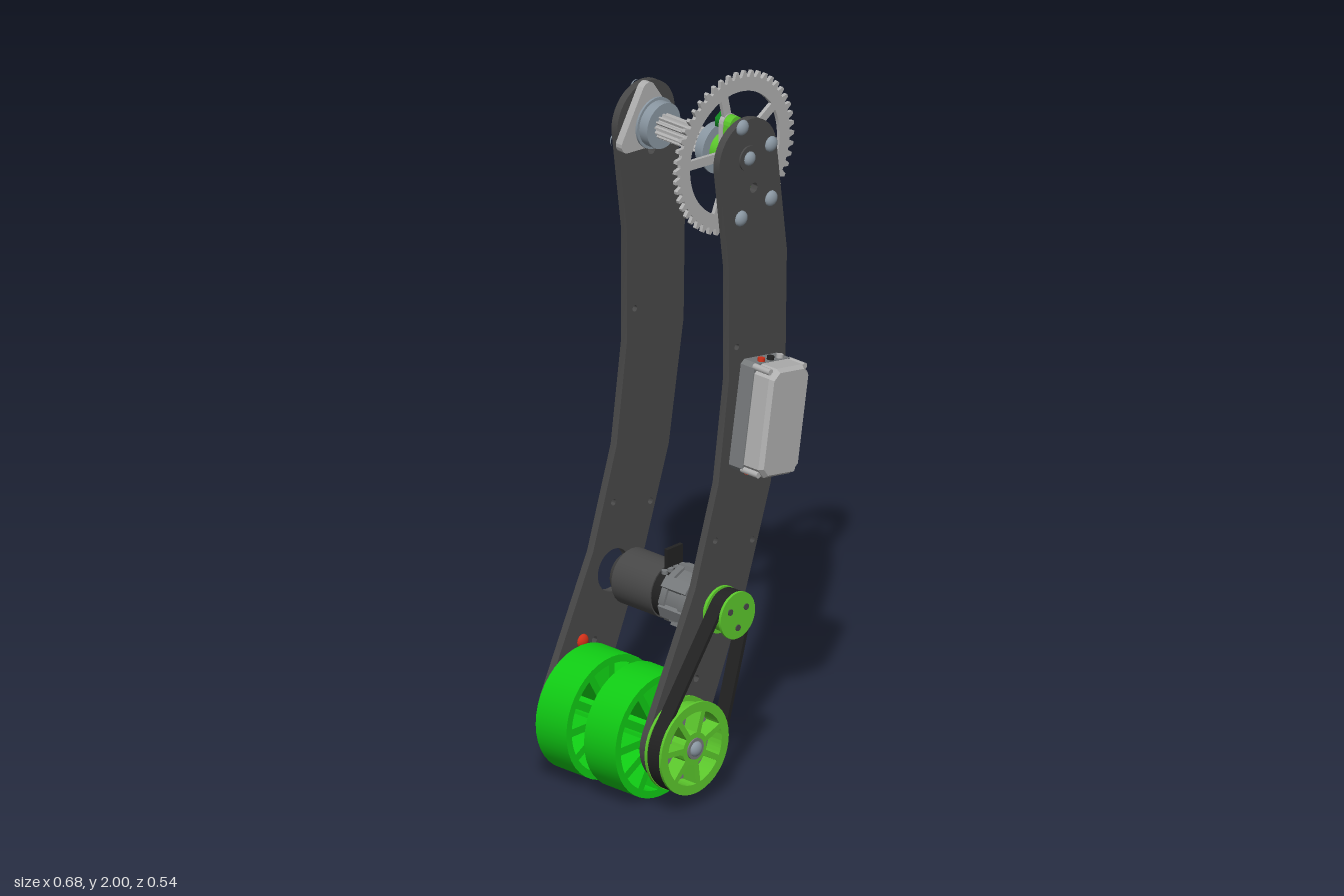
import * as THREE from 'three';
import { toCreasedNormals } from 'three/addons/utils/BufferGeometryUtils.js';

const mat = (color) => new THREE.MeshStandardMaterial({ color });
const DARK = mat(0x484848), BLACK = mat(0x222222), GREY = mat(0x777a7c), LIGHT = mat(0xb0b0b0);
const STEEL = mat(0x8a97a2), GREEN = mat(0x10cc14), LIME = mat(0x5cc82c), RED = mat(0xd03018), NUT = mat(0x108a20);
const TAU = Math.PI * 2, rad = THREE.MathUtils.degToRad;

// Pivot points [x, y]
const TOP = [0.113, 1.773], AXLE = [-0.17, 0.177], MOTOR = [-0.005, 0.51];

export function createModel() {
  const model = new THREE.Group();

  const add = (name, geo, material, parent = model) => {
    const mesh = new THREE.Mesh(geo, material);
    mesh.name = name;
    parent.add(mesh);
    return mesh;
  };
  // Extrude a shape from z0 to z1
  const slab = (name, shape, z0, z1, material, [x, y] = [0, 0]) => {
    const geo = new THREE.ExtrudeGeometry(shape, { depth: z1 - z0, bevelEnabled: false, curveSegments: 20 });
    add(name, toCreasedNormals(geo, 0.5), material).position.set(x, y, z0);
  };
  // Cylinder lying along z
  const disc = (name, [x, y], r, z0, z1, material, sides = 32, r2 = r) => {
    const geo = new THREE.CylinderGeometry(r2, r, z1 - z0, sides).rotateX(Math.PI / 2);
    const mesh = add(name, geo, material);
    mesh.position.set(x, y, (z0 + z1) / 2);
    return mesh;
  };
  const box = (name, w, h, d, x, y, z, material, parent) => {
    const mesh = add(name, new THREE.BoxGeometry(w, h, d), material, parent);
    mesh.position.set(x, y, z);
    return mesh;
  };
  // Domed bolt head facing front (dir 1) or back (dir -1)
  const bolt = (name, [x, y], r, z, dir, material = STEEL) => {
    const geo = new THREE.SphereGeometry(r, 16, 6, 0, TAU, 0, Math.PI / 2).rotateX(dir * Math.PI / 2);
    const mesh = add(name, geo, material);
    mesh.position.set(x, y, z);
    mesh.scale.z = 0.65;
  };
  // Outline wrapped around circles [x, y, r] listed counter-clockwise
  const wrap = (circles, Type = THREE.Shape) => {
    const n = circles.length, path = new Type();
    const normal = (a, b) => Math.atan2(b[1] - a[1], b[0] - a[0])
      - Math.acos((a[2] - b[2]) / Math.hypot(b[0] - a[0], b[1] - a[1]));
    circles.forEach((c, i) => {
      path.absarc(...c, normal(circles[(i + n - 1) % n], c), normal(c, circles[(i + 1) % n]), false);
    });
    path.closePath();
    return path;
  };
  const circle = (r, x = 0, y = 0, Type = THREE.Shape) => new Type().absarc(x, y, r, 0, TAU, false);
  // Cut n openings between spokes of the given width
  const cutSpokes = (shape, n, r1, r2, width, phase = 0) => {
    for (let i = 0; i < n; i++) {
      const a = phase + i * TAU / n, b = a + TAU / n, g1 = width / 2 / r1, g2 = width / 2 / r2;
      const hole = new THREE.Path();
      hole.absarc(0, 0, r2, a + g2, b - g2, false);
      hole.absarc(0, 0, r1, b - g1, a + g1, true);
      hole.closePath();
      shape.holes.push(hole);
    }
    return shape;
  };
  // Closed outline of repeated teeth
  const toothed = (n, rOut, rIn) => {
    const pts = [];
    for (let i = 0; i < n; i++) {
      [[0, rIn], [0.3, rIn], [0.5, rOut], [0.8, rOut]].forEach(([f, r]) => {
        const a = (i + f) * TAU / n;
        pts.push(new THREE.Vector2(r * Math.cos(a), r * Math.sin(a)));
      });
    }
    return new THREE.Shape(pts);
  };

  // Curved side plates
  const plate = (name, z0, z1, holes) => {
    const s = new THREE.Shape();
    s.absarc(...AXLE, 0.11, rad(152), rad(332), false);
    [[0.105, 0.53], [0.2, 0.81], [0.257, 1.155], [0.262, 1.465]].forEach((p) => s.lineTo(...p));
    s.absarc(...TOP, 0.11, rad(8), rad(188), false);
    [[0.04, 1.475], [0.04, 1.155], [0, 0.865], [-0.09, 0.585]].forEach((p) => s.lineTo(...p));
    s.closePath();
    holes.forEach(([x, y, r]) => s.holes.push(circle(r, x, y, THREE.Path)));
    slab(name, s, z0, z1, DARK);
  };
  const small = [[0.07, 1.24, 0.009], [-0.012, 0.705, 0.009], [0.13, 0.665, 0.009], [-0.085, 0.33, 0.01], [0.135, 1.68, 0.014]];
  plate('frontPlate', 0.128, 0.15, small);
  plate('rearPlate', -0.247, -0.225, [...small, [-0.012, 0.51, 0.06]]);

  // Drive wheels on the lower axle
  for (const [z0, z1] of [[-0.193, -0.08], [-0.015, 0.1]]) {
    slab('wheel', cutSpokes(circle(0.174), 12, 0.07, 0.153, 0.022, rad(0)), z0, z1, GREEN, AXLE);
  }
  disc('axleTube', AXLE, 0.043, -0.212, 0.117, LIME);
  disc('frontBearing', AXLE, 0.08, 0.115, 0.128, DARK);
  disc('rearBearing', AXLE, 0.08, -0.225, -0.211, DARK);
  disc('rearWasher', AXLE, 0.065, -0.254, -0.247, STEEL);
  bolt('rearAxleBolt', AXLE, 0.022, -0.254, -1);
  for (const [z, dir] of [[0.116, -1], [-0.212, 1]]) bolt('redScrew', [-0.145, 0.35], 0.02, z, dir, RED);
  bolt('redMarker', [-0.145, 0.35], 0.011, 0.15, 1, RED);
  bolt('redMarker', [-0.145, 0.35], 0.011, -0.247, -1, RED);

  // Belt drive: large pulley, small pulley, belt
  const bigPulley = (r) => cutSpokes(circle(r), 7, 0.045, 0.103, 0.016, rad(20));
  slab('largePulley', bigPulley(0.117), 0.174, 0.218, LIME, AXLE);
  slab('largePulleyFlange', bigPulley(0.13), 0.165, 0.173, LIME, AXLE);
  slab('largePulleyFlange', bigPulley(0.13), 0.218, 0.226, LIME, AXLE);
  disc('pulleyBackDisc', AXLE, 0.1, 0.155, 0.18, GREY);
  disc('pulleyHub', AXLE, 0.03, 0.15, 0.23, GREY);
  bolt('frontAxleBolt', AXLE, 0.022, 0.228, 1);
  disc('smallPulley', MOTOR, 0.055, 0.15, 0.22, LIME);
  disc('smallPulleyFlange', MOTOR, 0.066, 0.16, 0.168, LIME);
  disc('smallPulleyFlange', MOTOR, 0.066, 0.218, 0.226, LIME);
  for (let i = 0; i < 3; i++) {
    const a = i * TAU / 3 + 0.5;
    disc('pulleyScrew', [MOTOR[0] + 0.035 * Math.cos(a), MOTOR[1] + 0.035 * Math.sin(a)], 0.009, 0.22, 0.229, DARK, 12);
  }
  const belt = wrap([[...AXLE, 0.128], [...MOTOR, 0.064]]);
  belt.holes.push(wrap([[...AXLE, 0.117], [...MOTOR, 0.053]], THREE.Path));
  slab('belt', belt, 0.174, 0.217, BLACK);

  // Motor and gearbox
  disc('motorCan', MOTOR, 0.078, -0.165, -0.022, DARK);
  disc('motorEndCap', MOTOR, 0.055, -0.193, -0.165, DARK, 32, 0.078);
  disc('motorCollar', MOTOR, 0.074, -0.022, 0.01, BLACK);
  box('motorTerminal', 0.06, 0.06, 0.012, MOTOR[0], 0.61, -0.01, BLACK);
  for (let i = 0; i < 4; i++) {
    const port = add('motorPort', new THREE.CylinderGeometry(0.009, 0.009, 0.01, 10), GREY);
    port.position.set(-0.05 + i * 0.022, 0.583, 0.0);
  }
  disc('gearbox', MOTOR, 0.082, 0.01, 0.03, GREY, 8);
  disc('gearbox', MOTOR, 0.074, 0.03, 0.08, GREY, 8);
  disc('gearbox', MOTOR, 0.082, 0.08, 0.104, GREY, 8);
  for (let i = 0; i < 6; i++) {
    const a = i * TAU / 6 + 0.3, c = Math.cos(a), s = Math.sin(a);
    box('gearboxRib', 0.03, 0.034, 0.09, MOTOR[0] + 0.07 * c, MOTOR[1] + 0.07 * s, 0.057, GREY).rotation.z = a;
    disc('gearboxSpacer', [MOTOR[0] + 0.06 * c, MOTOR[1] + 0.06 * s], 0.011, 0.104, 0.128, i % 2 ? NUT : GREY, 12);
  }
  disc('outputShaft', MOTOR, 0.025, 0.1, 0.15, STEEL);

  // Sprocket with mounting plates
  const bolts = [[0.085, 1.607], [0.2, 1.63], [0.2, 1.787], [0.09, 1.868]];
  slab('sprocket', cutSpokes(toothed(48, 0.2275, 0.21), 5, 0.06, 0.172, 0.026, rad(103)), 0.091, 0.102, LIGHT, TOP);
  const carrier = wrap(bolts.map((p) => [...p, 0.026]));
  for (const x of [0.1, 0.17]) {
    carrier.holes.push(wrap([[x, 1.66, 0.009], [x, 1.7, 0.009]], THREE.Path));
  }
  slab('sprocketCarrier', carrier, 0.089, 0.104, LIGHT);
  slab('sprocketSpacer', wrap(bolts.map((p) => [...p, 0.024])), 0.104, 0.128, LIME);
  for (const p of bolts) {
    bolt('plateBolt', p, 0.022, 0.15, 1);
    disc('nut', p, 0.024, 0.07, 0.089, NUT, 6);
    disc('boltEnd', p, 0.012, 0.062, 0.07, GREY, 12);
  }

  // Upper splined shaft and bearings
  slab('splinedShaft', toothed(14, 0.036, 0.029), -0.165, 0.02, LIGHT, TOP);
  disc('rearHub', TOP, 0.064, -0.19, -0.16, STEEL);
  disc('rearHubFlange', TOP, 0.072, -0.195, -0.189, STEEL);
  disc('frontHub', TOP, 0.064, 0.016, 0.046, STEEL);
  disc('frontHubFlange', TOP, 0.072, 0.045, 0.051, STEEL);
  disc('frontSleeve', TOP, 0.045, 0.05, 0.092, LIME);
  disc('rearSleeve', TOP, 0.043, -0.205, -0.194, LIME);
  disc('frontShaftWasher', TOP, 0.035, 0.15, 0.155, DARK);
  bolt('frontShaftBolt', TOP, 0.02, 0.155, 1);
  disc('rearShaftWasher', TOP, 0.035, -0.252, -0.247, STEEL);
  bolt('rearShaftBolt', TOP, 0.02, -0.252, -1);

  // Rear triangular bracket
  const rearBolts = [[0.022, 1.735], [0.2, 1.72], [0.1, 1.865]];
  slab('rearBracket', wrap(rearBolts.map((p) => [...p, 0.025])), -0.225, -0.203, LIGHT);
  for (const p of rearBolts) bolt('rearBracketBolt', p, 0.021, -0.247, -1);

  // Tilted electronics box on the front plate
  const pack = new THREE.Group();
  pack.name = 'electronicsBox';
  pack.position.set(0.136, 1.037, 0);
  pack.rotation.z = -0.165;
  model.add(pack);
  const caseShape = (w, h, c) => new THREE.Shape([[w - c, -h], [w, c - h], [w, h - c], [w - c, h], [c - w, h], [-w, h - c], [-w, c - h], [c - w, -h]]
    .map((p) => new THREE.Vector2(...p)));
  add('boxBase', new THREE.ExtrudeGeometry(caseShape(0.075, 0.152, 0.012), { depth: 0.05, bevelEnabled: false }), GREY, pack).position.z = 0.15;
  add('boxLid', new THREE.ExtrudeGeometry(caseShape(0.066, 0.143, 0.02),
    { depth: 0.053, bevelThickness: 0.012, bevelSize: 0.009, bevelSegments: 1 }), LIGHT, pack).position.z = 0.203;
  for (const sx of [-1, 1]) for (const sy of [-1, 1]) {
    const lug = add('lidScrew', new THREE.CylinderGeometry(0.009, 0.009, 0.06, 12).rotateX(Math.PI / 2), LIGHT, pack);
    lug.position.set(sx * 0.066, sy * 0.143, 0.222);
  }
  for (const end of [-1, 1]) [RED, BLACK, LIGHT].forEach((m, i) => {
    add('boxButton', new THREE.CylinderGeometry(0.01, 0.01, 0.012, 14), m, pack).position.set((i - 1) * 0.036, end * 0.156, 0.186);
  });

  return model;
}
